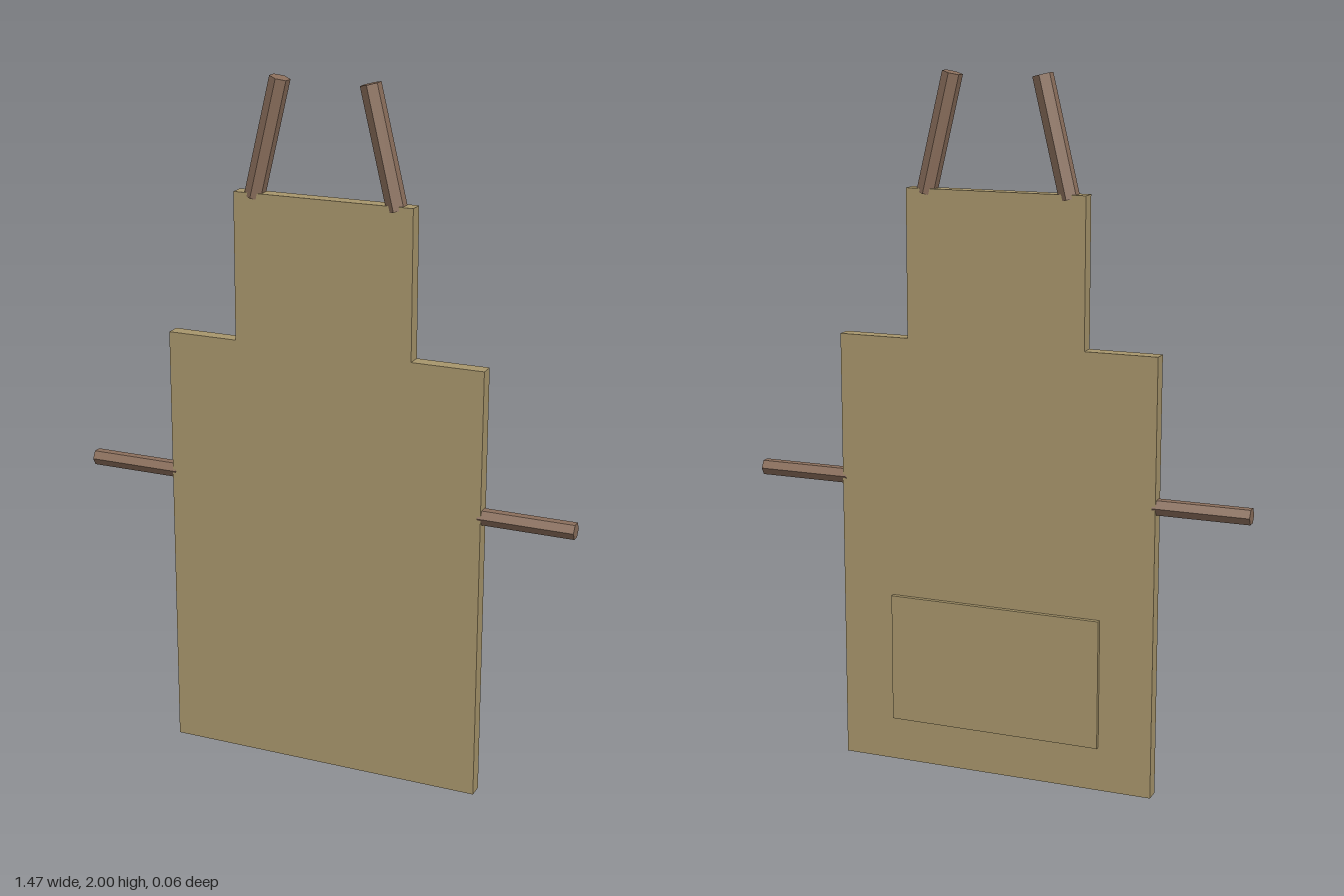
import * as THREE from 'three';

export function createModel() {
  const group = new THREE.Group();
  const cloth = new THREE.MeshStandardMaterial({ color: 0xa8966c, flatShading: true });
  const cord = new THREE.MeshStandardMaterial({ color: 0x8b6f5c, flatShading: true });

  const add = (name, geometry, material) => {
    const mesh = new THREE.Mesh(geometry, material);
    mesh.name = name;
    group.add(mesh);
    return mesh;
  };

  // Six-sided cord between two points in the plane of the apron
  const addCord = (name, from, to, radius) => {
    const dir = to.clone().sub(from);
    const mesh = add(name, new THREE.CylinderGeometry(radius, radius, dir.length(), 6), cord);
    mesh.position.set((from.x + to.x) / 2, (from.y + to.y) / 2, 0.002);
    mesh.rotation.z = Math.atan2(-dir.x, dir.y);
  };

  // Apron panel: wide skirt with a narrower bib
  const half = [[0.47, 0], [0.47, 1.26], [0.262, 1.26], [0.262, 1.68]];
  const outline = [...half, ...half.map(([x, y]) => [-x, y]).reverse()];
  const shape = new THREE.Shape(outline.map(([x, y]) => new THREE.Vector2(x, y)));
  const panel = add('apronPanel', new THREE.ExtrudeGeometry(shape, { depth: 0.042, bevelEnabled: false }), cloth);
  panel.position.z = -0.019;

  // Pocket
  const pocket = add('pocket', new THREE.BoxGeometry(0.63, 0.375, 0.02), cloth);
  pocket.position.set(0, 0.317, -0.022);

  // Neck straps lean inwards, waist ties stick out sideways
  for (const [side, s] of [['left', 1], ['right', -1]]) {
    addCord(side + 'NeckStrap', new THREE.Vector2(s * 0.209, 1.666), new THREE.Vector2(s * 0.13, 1.994), 0.029);
    addCord(side + 'WaistTie', new THREE.Vector2(s * 0.46, 0.842), new THREE.Vector2(s * 0.733, 0.842), 0.024);
  }

  return group;
}
